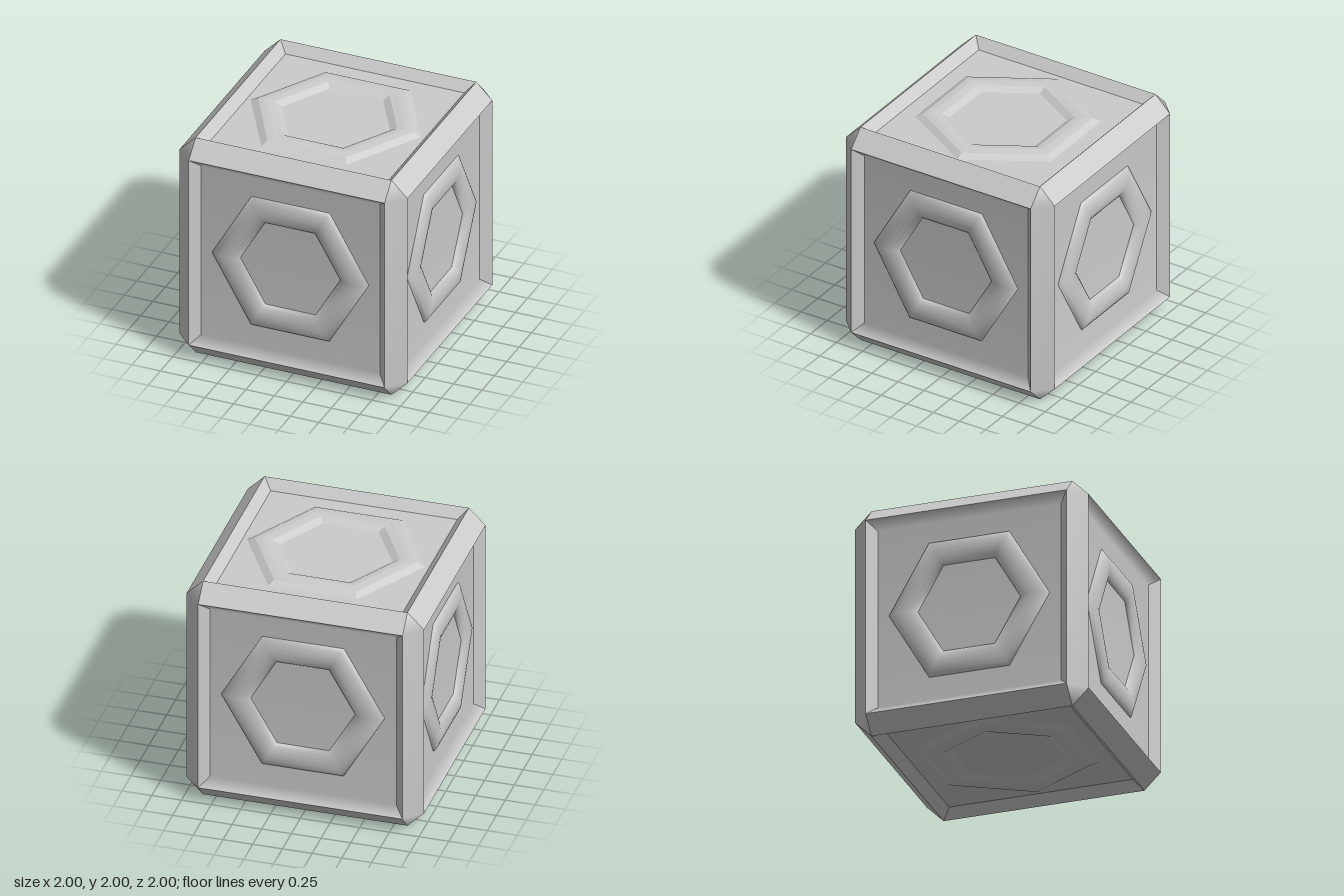
import * as THREE from 'three';
import { toCreasedNormals } from 'three/addons/utils/BufferGeometryUtils.js';

const material = new THREE.MeshStandardMaterial({ color: 0xcccccc });
const A = 0.86;   // half width of each panel opening
const B = 0.785;  // half width of the recessed panel floor
const D = 0.92;   // distance of the panel floor from the centre

function mesh(name, geometry) {
  const m = new THREE.Mesh(geometry, material);
  m.name = name;
  return m;
}

// Smooth surface from corner points and polygons (counter-clockwise from outside)
function surface(name, points, polygons) {
  const g = new THREE.BufferGeometry();
  g.setAttribute('position', new THREE.Float32BufferAttribute(points.flat(), 3));
  const index = [];
  for (const p of polygons)
    for (let i = 1; i < p.length - 1; i++) index.push(p[0], p[i], p[i + 1]);
  g.setIndex(index);
  g.computeVertexNormals();
  return mesh(name, g);
}

// Six-sided raised ring around the y axis; half profile mirrored about its crest
function hexRing(radius, half) {
  const other = half.slice(0, -1).reverse().map(([o, h]) => [-o, h]);
  const profile = [...half, ...other].map(([o, h]) => new THREE.Vector2(radius + o, h));
  return new THREE.LatheGeometry(profile, 6, Math.PI / 2);
}

// Recessed panel facing +z: floor flows into upper and lower walls if smooth
function recess(smooth) {
  const g = new THREE.Group();
  const floor = [[-B, -B, D], [B, -B, D], [B, B, D], [-B, B, D]];
  const rim = [[-A, -A, 1], [A, -A, 1], [A, A, 1], [-A, A, 1]];
  const walls = [0, 1, 2, 3].map(i => [i, i + 4, (i + 1) % 4 + 4, (i + 1) % 4].reverse());
  const points = [...floor, ...rim];
  // walls are listed bottom, right, top, left
  const facing = walls.map(w => w.slice().reverse());
  if (smooth) {
    g.add(surface('panel', points, [[0, 1, 2, 3], facing[0], facing[2]]));
  } else {
    g.add(surface('panel', floor, [[0, 1, 2, 3]]));
    for (const i of [0, 2]) g.add(surface('panelWall', facing[i].map(k => points[k]), [[0, 1, 2, 3]]));
  }
  for (const i of [1, 3]) g.add(surface('panelWall', facing[i].map(k => points[k]), [[0, 1, 2, 3]]));
  return g;
}

export function createModel() {
  const model = new THREE.Group();
  model.name = 'cube';
  const cube = new THREE.Group();
  cube.name = 'body';
  cube.position.y = 1;
  model.add(cube);

  // Rounded rings on the sides, flatter bevelled rings on top and bottom
  const sideRing = hexRing(0.564, [[0.123, 0], [0.12, 0.013], [0.09, 0.031], [0.047, 0.042], [0, 0.046]]);
  sideRing.rotateX(Math.PI / 2);
  const capRing = toCreasedNormals(
    hexRing(0.612, [[0.138, 0], [0.075, 0.032], [0, 0.043]]), 0.32);
  capRing.rotateX(Math.PI / 2);

  // Four sides, with the vertical edge and upper/lower edges of each
  for (let k = 0; k < 4; k++) {
    const side = recess(true);
    side.name = 'side';
    const ring = mesh('sideRing', sideRing);
    ring.position.set(0, 0.01, D);
    side.add(ring);

    // Vertical chamfer with its two corner triangles
    side.add(surface('verticalEdge', [
      [A, -A, 1], [1, -A, A], [1, A, A], [A, A, 1], [A, 1, A], [A, -1, A],
    ], [[0, 1, 2, 3], [3, 2, 4], [0, 5, 1]]));

    // Horizontal chamfers
    side.add(surface('upperEdge', [[-A, A, 1], [A, A, 1], [A, 1, A], [-A, 1, A]], [[0, 1, 2, 3]]));
    side.add(surface('lowerEdge', [[-A, -1, A], [A, -1, A], [A, -A, 1], [-A, -A, 1]], [[0, 1, 2, 3]]));
    side.rotation.y = k * Math.PI / 2;
    cube.add(side);
  }

  // Top and bottom
  for (const s of [-1, 1]) {
    const cap = recess(false);
    cap.name = s < 0 ? 'top' : 'bottom';
    const ring = mesh('capRing', capRing);
    ring.position.z = D;
    cap.add(ring);
    cap.rotation.x = s * Math.PI / 2;
    cube.add(cap);
  }
  return model;
}
